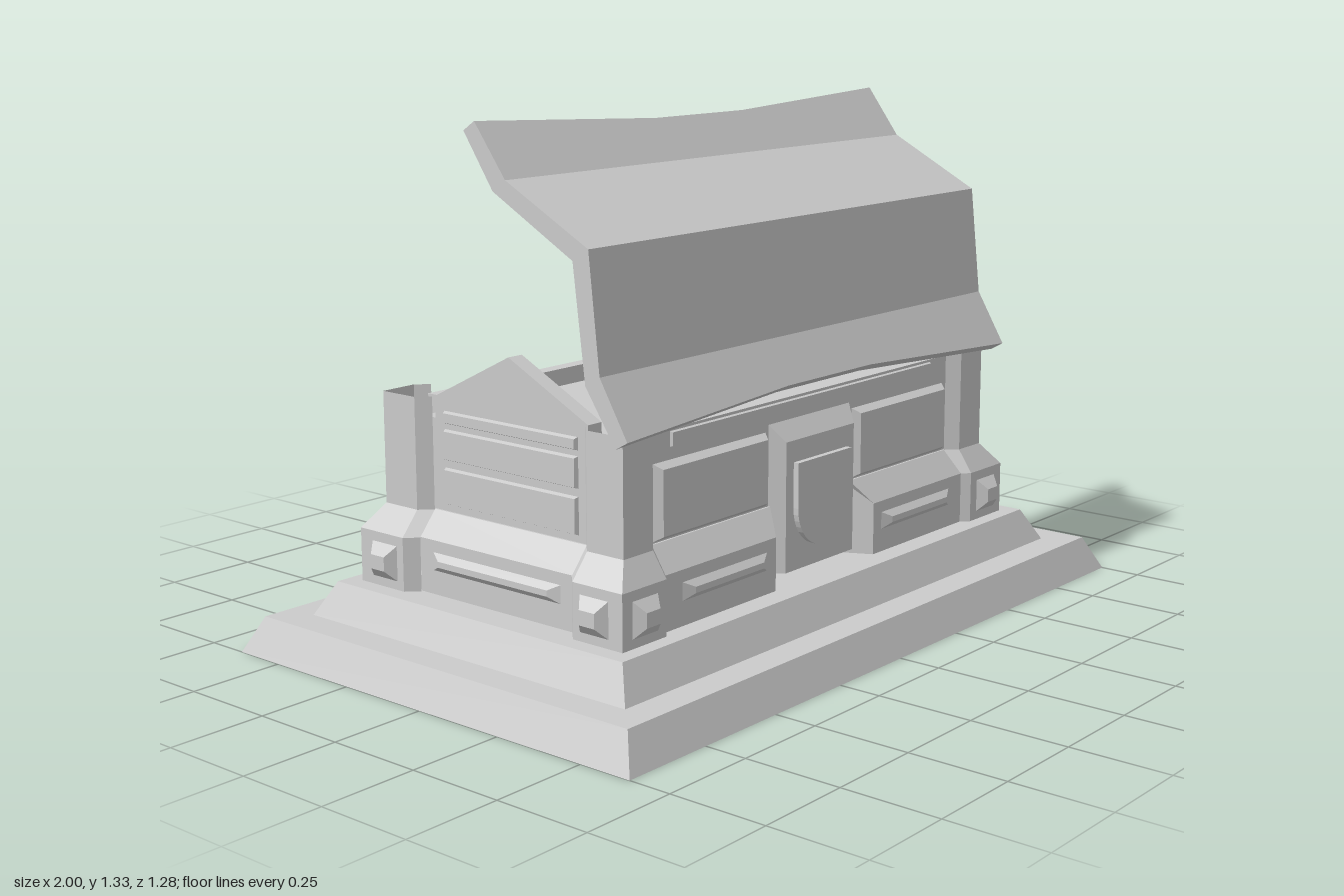
import * as THREE from 'three';

const material = new THREE.MeshStandardMaterial({ color: 0xcccccc, flatShading: true, side: THREE.DoubleSide });

function mesh(name, geometry) {
  const m = new THREE.Mesh(geometry, material);
  m.name = name;
  return m;
}

// Skin a list of rings of [x, y, z] points, with optional end caps.
function loft(name, rings, { closed = true, start = true, end = true } = {}) {
  const pos = [];
  const tri = (...pts) => pts.forEach((p) => pos.push(...p));
  const n = rings[0].length;
  for (let i = 0; i + 1 < rings.length; i++) {
    for (let j = 0; j < (closed ? n : n - 1); j++) {
      const k = (j + 1) % n;
      const [a, b, c, d] = [rings[i][j], rings[i][k], rings[i + 1][k], rings[i + 1][j]];
      tri(a, b, c);
      tri(a, c, d);
    }
  }
  const cap = (r, flip) => {
    for (let lo = 0, hi = n - 1; hi - lo >= 2; lo++, hi--) {
      const tris = [[r[lo], r[lo + 1], r[hi]]];
      if (hi - lo > 2) tris.push([r[lo + 1], r[hi - 1], r[hi]]);
      tris.forEach(([a, b, c]) => (flip ? tri(a, c, b) : tri(a, b, c)));
    }
  };
  if (closed && start) cap(rings[0], true);
  if (closed && end) cap(rings[rings.length - 1], false);
  const g = new THREE.BufferGeometry();
  g.setAttribute('position', new THREE.Float32BufferAttribute(pos, 3));
  g.computeVertexNormals();
  return mesh(name, g);
}

const rectXY = (x0, x1, y0, y1, z) => [[x0, y0, z], [x1, y0, z], [x1, y1, z], [x0, y1, z]];
const rectXZ = (w, d, y) => [[-w, y, d], [w, y, d], [w, y, -d], [-w, y, -d]];

// Bevelled panel facing +z: outline at z0, inset outline at z1.
const panel = (name, x0, x1, y0, y1, z0, z1, bx, by) =>
  loft(name, [rectXY(x0, x1, y0, y1, z0), rectXY(x0 + bx, x1 - bx, y0 + by, y1 - by, z1)]);

// Long face of the chest, facing +z
function longSide() {
  const g = new THREE.Group();
  g.add(loft('wall', [rectXY(-0.62, 0.62, 0.2, 0.63, 0.315), rectXY(-0.62, 0.62, 0.2, 0.63, 0.355)]));
  g.add(panel('upperStrip', -0.535, 0.535, 0.585, 0.625, 0.35, 0.362, 0.004, 0.004));
  g.add(loft('centrePanel', [
    rectXY(-0.17, 0.17, 0.2, 0.58, 0.35),
    rectXY(-0.14, 0.14, 0.2, 0.53, 0.39),
  ]));
  for (const s of [-1, 1]) {
    const span = (a, b) => (s > 0 ? [a, b] : [-b, -a]);
    g.add(panel('upperPanel', ...span(0.175, 0.598), 0.37, 0.56, 0.35, 0.375, 0.018, 0.016));
    // Rail with a sloped top and an end chamfered toward the centre
    const rail = [[0.175, 0.41], [0.31, 0.41], [0.37, 0.36], [0.37, 0.33], [0.175, 0.33]];
    const ring = (at) => rail.map(([y, z]) => [s * at(z), y, z]);
    const rings = [ring((z) => (z > 0.4 ? 0.205 : 0.165)), ring(() => 0.62)];
    g.add(loft('lowerRail', s > 0 ? rings.reverse() : rings));
    g.add(panel('railBar', ...span(0.24, 0.555), 0.235, 0.28, 0.41, 0.425, 0.03, 0.015));
  }
  // Raised shield with a round lower end
  const shape = new THREE.Shape();
  shape.moveTo(0.11, 0.475);
  shape.lineTo(-0.11, 0.475);
  shape.lineTo(-0.11, 0.36);
  shape.absarc(0, 0.36, 0.11, Math.PI, Math.PI * 2, false);
  shape.closePath();
  const shield = mesh('shield', new THREE.ExtrudeGeometry(shape, { depth: 0.017, bevelEnabled: false, curveSegments: 10 }));
  shield.position.z = 0.388;
  g.add(shield);
  return g;
}

// Short gabled end, built facing +z and turned later
function shortSide() {
  const g = new THREE.Group();
  const gable = [[-0.255, 0.175], [0.255, 0.175], [0.25, 0.65], [0, 0.775], [-0.25, 0.65]];
  g.add(loft('gableWall', [0.65, 0.695].map((z) => gable.map(([x, y]) => [x, y, z]))));
  for (const [y0, y1] of [[0.585, 0.62], [0.495, 0.575], [0.385, 0.48]]) {
    g.add(panel('sidePanel', -0.22, 0.22, y0, y1, 0.69, 0.705, 0.006, 0.006));
  }
  g.add(loft('sideRail', [[-0.255, 1], [0.255, 1]].map(([x]) =>
    [[0.175, 0.67], [0.37, 0.67], [0.37, 0.7], [0.31, 0.75], [0.175, 0.75]].map(([y, z]) => [x, y, z]))));
  g.add(panel('railBar', -0.21, 0.21, 0.235, 0.28, 0.75, 0.765, 0.03, 0.015));
  return g;
}

// Hollow corner post with flared foot and two bevelled studs
function cornerPost(sx, sz) {
  const g = new THREE.Group();
  const ring = (x, z, y) => [[x - 0.03, y, 0.25], [x, y, 0.28], [x, y, z], [0.635, y, z], [0.605, y, z - 0.03]]
    .map(([px, py, pz]) => [sx * px, py, sz * pz]);
  const rings = [ring(0.785, 0.43, 0.175), ring(0.785, 0.43, 0.31), ring(0.735, 0.39, 0.37), ring(0.735, 0.39, 0.65)];
  if (sx * sz > 0) rings.forEach((r) => r.reverse());
  g.add(loft('postShell', rings, { closed: false }));
  const front = panel('stud', -0.043, 0.043, 0.197, 0.285, 0, 0.025, 0.02, 0.026);
  front.position.set(sx * 0.708, 0, sz * 0.43);
  front.rotation.y = sz > 0 ? 0 : Math.PI;
  const side = front.clone();
  side.position.set(sx * 0.785, 0, sz * 0.345);
  side.rotation.y = sx * Math.PI / 2;
  g.add(front, side);
  return g;
}

// Raised lid: folded sheet with a thicker rim underneath
function lid() {
  const g = new THREE.Group();
  const outer = [[0.435, 0.65], [0.355, 0.785], [0.325, 1.065], [0.075, 1.198], [-0.02, 1.325]];
  const inner = [[0.4, 0.63], [0.312, 0.76], [0.278, 1.035], [0.035, 1.17], [-0.055, 1.302]];
  const { lerp, clamp } = THREE.MathUtils;
  const at = (u, f) => {
    const i = Math.min(3, Math.floor(u));
    return [0, 1].map((k) => lerp(
      lerp(outer[i][k], outer[i + 1][k], u - i),
      lerp(inner[i][k], inner[i + 1][k], u - i), f));
  };
  // The two long edges dip inward at mid width
  const trim = (x) => 0.22 * clamp((0.77 - Math.abs(x)) / 0.6, 0, 1);
  const strip = (name, xs, path, f0, f1) => g.add(loft(name, xs.map((x) => {
    const us = path(trim(x));
    return [...us.map((u) => at(u, f0)), ...us.slice().reverse().map((u) => at(u, f1))]
      .map(([z, y]) => [x, y, z]);
  })));
  const across = [-0.77, -0.17, 0.17, 0.77];
  const full = (t) => [t, 1, 2, 3, 4 - t];
  strip('lidSheet', across, full, 0, 0.6);
  strip('lidEndRim', [-0.77, -0.715], full, 0.55, 1);
  strip('lidEndRim', [0.715, 0.77], full, 0.55, 1);
  strip('lidLowerRim', across, (t) => [t, t + 0.35], 0.55, 0.98);
  strip('lidUpperRim', across, (t) => [3.65 - t, 4 - t], 0.55, 0.98);
  return g;
}

export function createModel() {
  const model = new THREE.Group();
  const add = (name, object, turn = 0) => {
    object.name = name;
    object.rotation.y = turn;
    model.add(object);
  };

  // Stepped plinth, open underneath
  add('plinth', loft('plinth', [
    rectXZ(1, 0.64, 0), rectXZ(0.957, 0.597, 0.09), rectXZ(0.873, 0.515, 0.09), rectXZ(0.83, 0.47, 0.175),
  ], { start: false }));

  // Chest body
  add('frontSide', longSide());
  add('backSide', longSide(), Math.PI);
  add('leftSide', shortSide(), Math.PI / 2);
  add('rightSide', shortSide(), -Math.PI / 2);
  for (const sx of [-1, 1]) for (const sz of [-1, 1]) add('cornerPost', cornerPost(sx, sz));
  add('innerTop', loft('innerTop', [rectXZ(0.66, 0.33, 0.57), rectXZ(0.66, 0.33, 0.585)]));

  add('lid', lid());
  return model;
}
